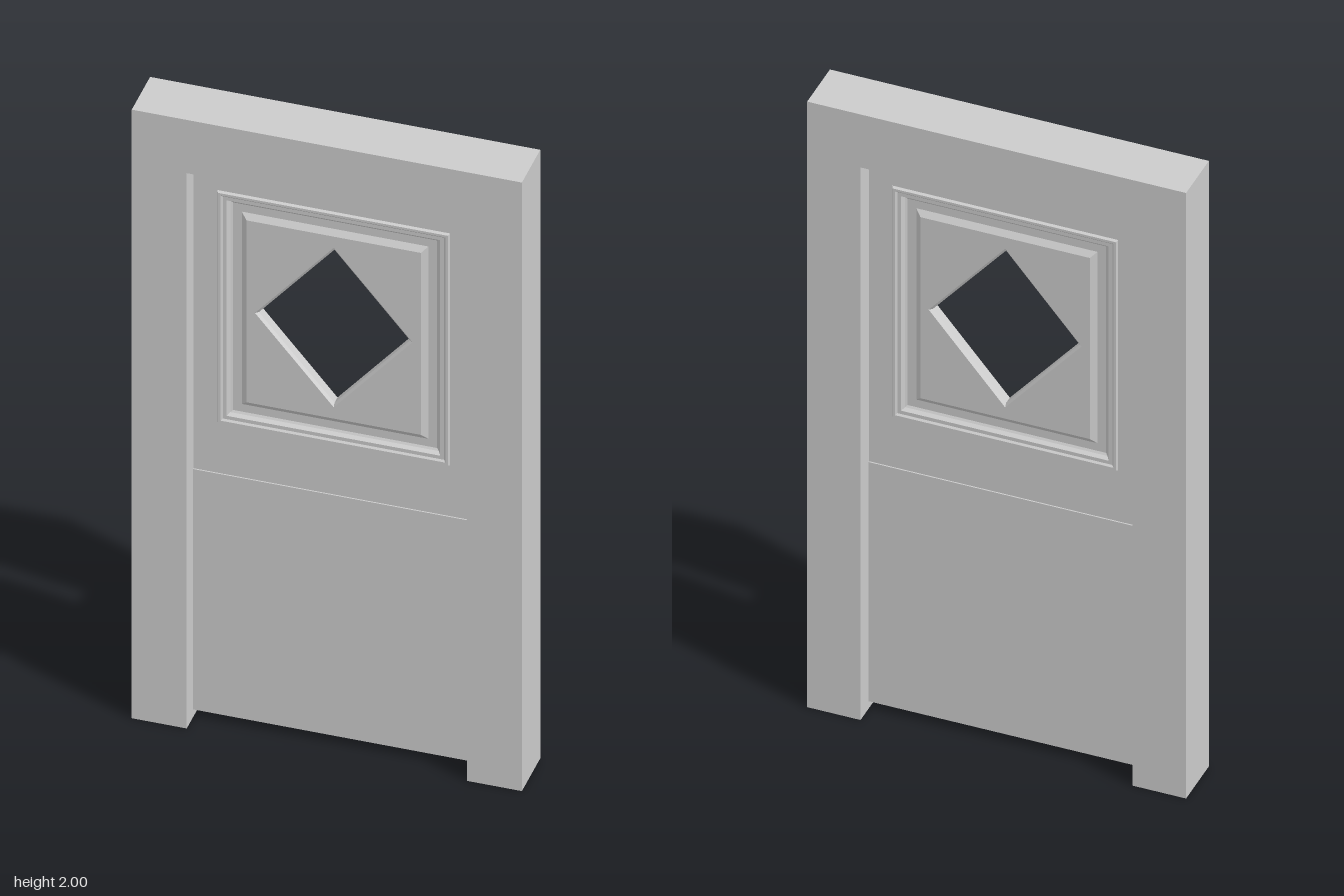
import * as THREE from 'three';

const CY = 1.363;            // centre height of the window panel
const HX = 0.328, HY = 0.381; // half size of the window moulding
const DX = 0.222, DY = 0.262; // half size of the diamond opening

const material = new THREE.MeshStandardMaterial({ color: 0xcccccc, flatShading: true });

function add(parent, name, geometry) {
  const mesh = new THREE.Mesh(geometry, material);
  mesh.name = name;
  parent.add(mesh);
  return mesh;
}

const polygon = (points, Type = THREE.Shape) =>
  new Type(points.map(([x, y]) => new THREE.Vector2(x, y)));

const rectangle = (hx, hy) => [[-hx, -hy], [hx, -hy], [hx, hy], [-hx, hy]];
const diamond = (s) => [[0, -DY * s], [DX * s, 0], [0, DY * s], [-DX * s, 0]];
const raise = (points, dy) => points.map(([x, y]) => [x, y + dy]);

// Slab centred on z = 0
function slab(shape, depth) {
  return new THREE.ExtrudeGeometry(shape, { depth, bevelEnabled: false })
    .translate(0, 0, -depth / 2);
}

// Mitred ring: profile points [inset, z] run inward around the outline
function mitredRing(outline, profile) {
  const pos = [];
  const loops = profile.map(([d, z]) => outline(d).map(([x, y]) => [x, y, z]));
  for (let i = 0; i < loops.length - 1; i++) {
    for (let k = 0; k < 4; k++) {
      const n = (k + 1) % 4;
      const a = loops[i][k], b = loops[i][n], c = loops[i + 1][n], d = loops[i + 1][k];
      pos.push(...a, ...b, ...c, ...a, ...c, ...d);
    }
  }
  const g = new THREE.BufferGeometry();
  g.setAttribute('position', new THREE.Float32BufferAttribute(pos, 3));
  g.computeVertexNormals();
  return g;
}

// One face of the window panel, facing +z
function panelFace() {
  const face = new THREE.Group();
  const inset = (d) => rectangle(HX - d, HY - d);

  add(face, 'moulding', mitredRing(inset, [
    [0, 0.02], [0.004, 0.027], [0.011, 0.027], [0.016, 0.022],
    [0.027, 0.022], [0.034, 0.012], [0.04, 0.008],
  ]));
  add(face, 'panelBevel', mitredRing(inset, [[0.04, 0.008], [0.065, 0.008], [0.082, 0.02]]));

  const field = polygon(inset(0.082));
  field.holes.push(polygon(diamond(1), THREE.Path));
  add(face, 'raisedField', new THREE.ShapeGeometry(field).translate(0, 0, 0.02));

  add(face, 'diamondReveal', mitredRing(diamond, [[1, 0.02], [0.96, 0.013], [0.96, 0]]));
  face.position.y = CY;
  return face;
}

export function createModel() {
  const model = new THREE.Group();
  model.name = 'door';

  // Surrounding frame: two jambs and a head
  add(model, 'doorFrame', slab(polygon([
    [-0.55, 0], [-0.395, 0], [-0.395, 1.825], [0.395, 1.825],
    [0.395, 0], [0.55, 0], [0.55, 2], [-0.55, 2],
  ]), 0.16));

  // Upper leaf, cut out for the window panel
  const upper = polygon([[-0.395, 0.815], [0.395, 0.815], [0.395, 1.825], [-0.395, 1.825]]);
  upper.holes.push(polygon(raise(rectangle(HX, HY), CY), THREE.Path));
  add(model, 'upperLeaf', slab(upper, 0.04));

  // Lower leaf, slightly thicker so that it forms a ledge
  add(model, 'lowerLeaf', new THREE.BoxGeometry(0.79, 0.79, 0.048)).position.y = 0.42;

  // Window panel on both sides
  for (const side of ['front', 'back']) {
    const face = panelFace();
    face.name = side + 'Panel';
    if (side === 'back') face.rotation.y = Math.PI;
    model.add(face);
  }
  return model;
}
